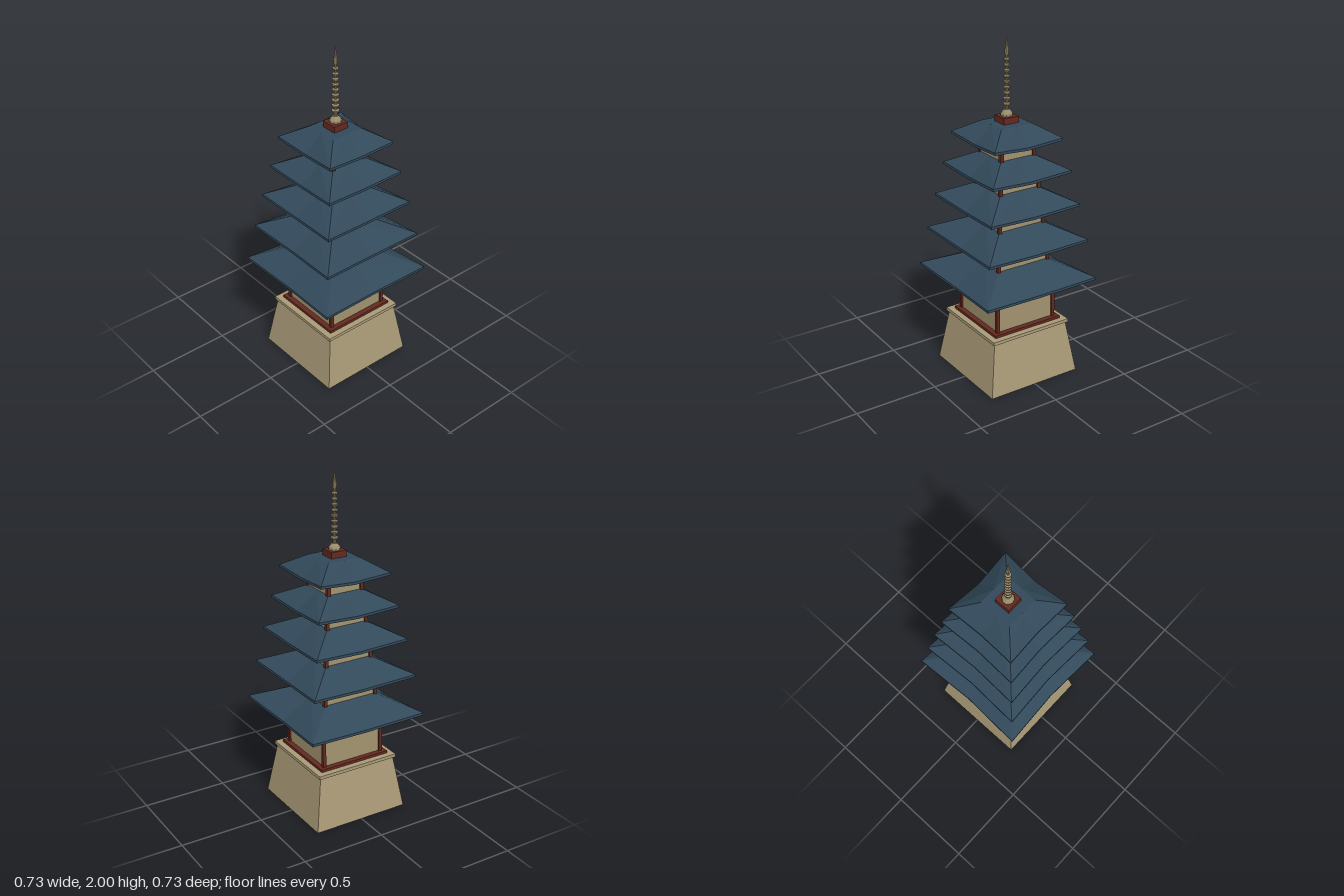
import * as THREE from 'three';

const material = (name, color) => {
  const m = new THREE.MeshStandardMaterial({ color, flatShading: true });
  m.name = name;
  return m;
};

export function createModel() {
  const stone = material('stone', 0xaa9b78);
  const plaster = material('plaster', 0xa39470);
  const timber = material('red timber', 0x64291f);
  const tile = material('slate tile', 0x32495a);
  const bronze = material('aged bronze', 0x9a8c6c);

  const model = new THREE.Group();
  model.name = 'pagoda';

  const add = (parent, name, geometry, mat, x = 0, y = 0, z = 0) => {
    const mesh = new THREE.Mesh(geometry, mat);
    mesh.name = name;
    mesh.position.set(x, y, z);
    parent.add(mesh);
    return mesh;
  };
  // Square slab given by half width and its bottom and top heights
  const slab = (parent, name, half, y0, y1, mat) =>
    add(parent, name, new THREE.BoxGeometry(half * 2, y1 - y0, half * 2), mat, 0, (y0 + y1) / 2, 0);

  // Eight-point square ring: corners and edge midpoints have their own reach and height
  const ring = (corner, cornerY, mid, midY) => {
    const points = [];
    for (let i = 0; i < 4; i++) {
      const a = (i * Math.PI) / 2;
      const c = Math.cos(a), s = Math.sin(a);
      points.push([corner * (c - s), cornerY, corner * (c + s)]);
      points.push([-mid * s, midY, mid * c]);
    }
    return points;
  };

  // Hipped roof with lifted corners, a thin eave edge and a closed soffit
  const roofGeometry = (eave, top, y0, y1) => {
    const mid = eave * 0.94;
    const rings = [
      ring(top, y1, top, y1),
      ring(eave, y0 + 0.034, mid, y0 + 0.016),
      ring(eave, y0 + 0.019, mid, y0),
      ring(top, y0 + 0.003, top, y0 + 0.003),
    ];
    const positions = rings.flat(2);
    const index = [];
    for (let r = 0; r < 3; r++) {
      for (let i = 0; i < 8; i++) {
        const j = (i + 1) % 8;
        const a = r * 8 + i, b = r * 8 + j, c = a + 8, d = b + 8;
        // Diagonals mirror about each edge midpoint
        if (i % 2) index.push(a, b, d, a, d, c);
        else index.push(a, b, c, b, d, c);
      }
    }
    for (let i = 1; i < 7; i++) {
      index.push(0, i + 1, i);
      index.push(24, 24 + i, 25 + i);
    }
    const geometry = new THREE.BufferGeometry();
    geometry.setAttribute('position', new THREE.Float32BufferAttribute(positions, 3));
    // Ring order runs clockwise from above, so the winding follows it
    const winding = [];
    const p = (k) => new THREE.Vector3().fromArray(positions, k * 3);
    const centre = new THREE.Vector3(0, (y0 + y1) / 2 - 0.02, 0);
    for (let i = 0; i < index.length; i += 3) {
      const [a, b, c] = index.slice(i, i + 3);
      const normal = p(b).sub(p(a)).cross(p(c).sub(p(a)));
      const outward = normal.dot(p(a).sub(centre)) >= 0;
      winding.push(a, ...(outward ? [b, c] : [c, b]));
    }
    geometry.setIndex(winding);
    const flat = geometry.toNonIndexed();
    flat.computeVertexNormals();
    return flat;
  };

  // Tapered stone base with a projecting cap
  const base = new THREE.CylinderGeometry(0.246 * Math.SQRT2, 0.295 * Math.SQRT2, 0.315, 4);
  base.rotateY(Math.PI / 4);
  add(model, 'stoneBase', base, stone, 0, 0.1575, 0);
  slab(model, 'baseCap', 0.258, 0.314, 0.334, stone);
  slab(model, 'groundSill', 0.222, 0.334, 0.349, timber);

  // Storeys: body half width, body bottom, roof bottom, roof top, eave reach, roof top half width
  const storeys = [
    [0.2, 0.345, 0.583, 0.72, 0.367, 0.15],
    [0.175, 0.71, 0.817, 0.944, 0.33, 0.138],
    [0.155, 0.935, 1.03, 1.151, 0.294, 0.125],
    [0.135, 1.14, 1.225, 1.337, 0.257, 0.112],
    [0.116, 1.325, 1.41, 1.518, 0.222, 0.1],
  ];
  storeys.forEach(([half, bottom, eaveY, topY, eave, top], n) => {
    const storey = new THREE.Group();
    storey.name = `storey${n + 1}`;
    model.add(storey);
    slab(storey, 'walls', half - 0.01, bottom, eaveY, plaster);
    const height = eaveY - bottom;
    for (const sx of [-1, 1]) {
      for (const sz of [-1, 1]) {
        add(storey, 'cornerPost', new THREE.BoxGeometry(0.02, height, 0.02), timber,
          sx * (half - 0.01), bottom + height / 2, sz * (half - 0.01));
      }
    }
    slab(storey, 'topBeam', half + 0.012, eaveY - 0.013, eaveY + 0.004, timber);
    add(storey, 'roof', roofGeometry(eave, top, eaveY, topY), tile);
  });

  // Finial: timber block, bowl, ringed mast and pointed tip
  const finial = new THREE.Group();
  finial.name = 'finial';
  model.add(finial);
  slab(finial, 'finialBlock', 0.048, 1.515, 1.554, timber);
  const lathe = (name, profile) =>
    add(finial, name, new THREE.LatheGeometry(profile.map(([r, y]) => new THREE.Vector2(r, y)), 10), bronze);
  lathe('finialBowl', [[0, 1.554], [0.034, 1.554], [0.034, 1.566], [0.027, 1.577], [0.016, 1.59], [0, 1.59]]);
  lathe('mast', [[0.01, 1.585], [0.007, 1.9]]);
  for (let i = 0; i < 9; i++) {
    const y = 1.62 + i * 0.031;
    const r = 0.022 - i * 0.0006;
    lathe('mastRing', [[0.007, y - 0.009], [r, y - 0.004], [r, y + 0.004], [0.007, y + 0.009]]);
  }
  lathe('tip', [[0.006, 1.89], [0.014, 1.908], [0.013, 1.922], [0.008, 1.945], [0, 2]]);

  return model;
}
